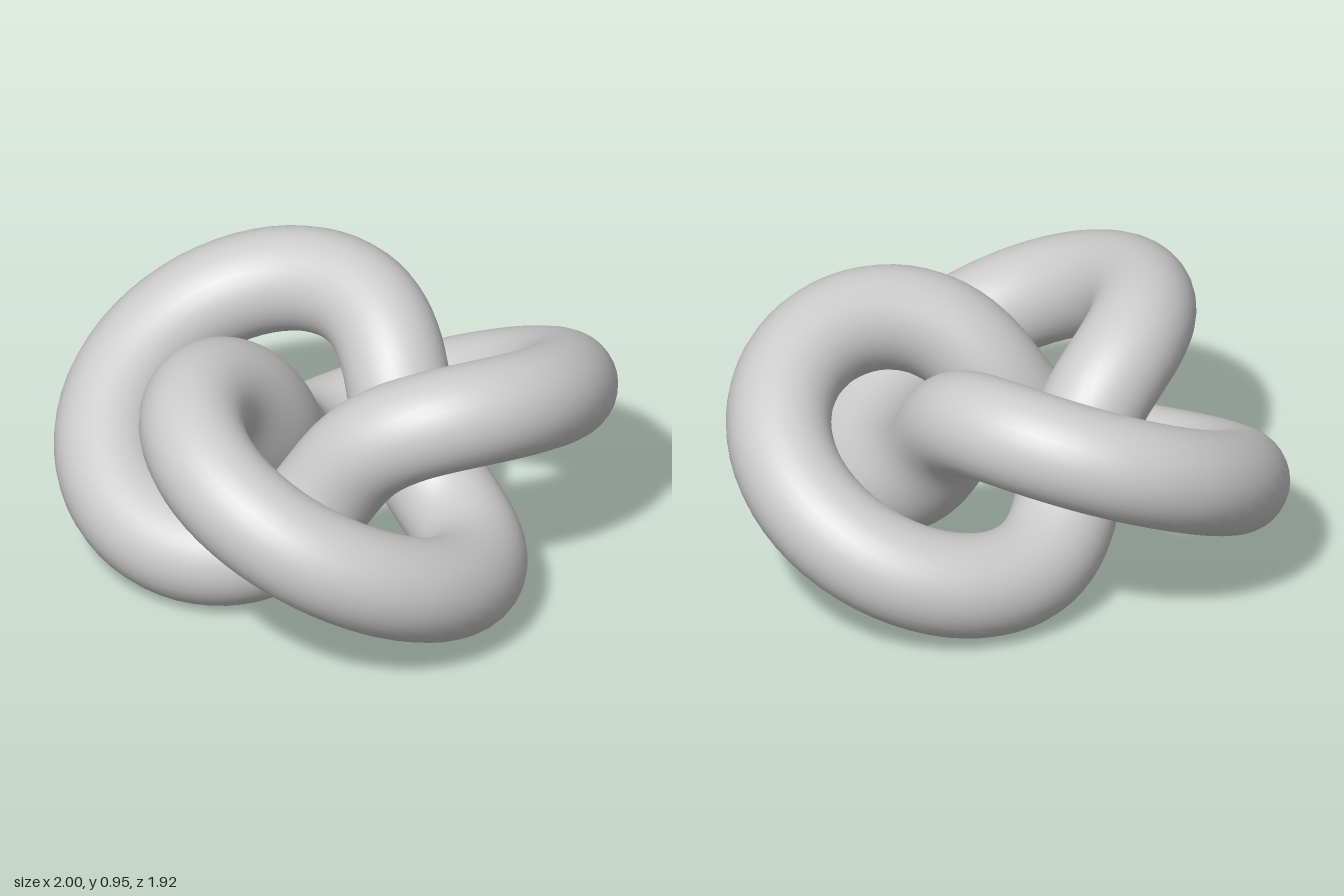
import * as THREE from 'three';

export function createModel() {
  const group = new THREE.Group();
  group.name = 'knotModel';

  const radius = 0.575; // centre line swings between 0.5 and 1.5 times this
  const tube = 0.187;

  // Trefoil: two turns, three crossings; the negative count sets its handedness
  const geometry = new THREE.TorusKnotGeometry(radius, tube, 200, 32, 2, -3);
  geometry.rotateX(-Math.PI / 2); // lay flat
  geometry.rotateY(-Math.PI / 2); // one lobe towards the front
  geometry.translate(0, radius / 2 + tube, -0.091); // stand on the floor, centre the depth

  const knot = new THREE.Mesh(geometry, new THREE.MeshStandardMaterial({ color: 0xcccccc }));
  knot.name = 'trefoilKnot';
  group.add(knot);
  return group;
}
